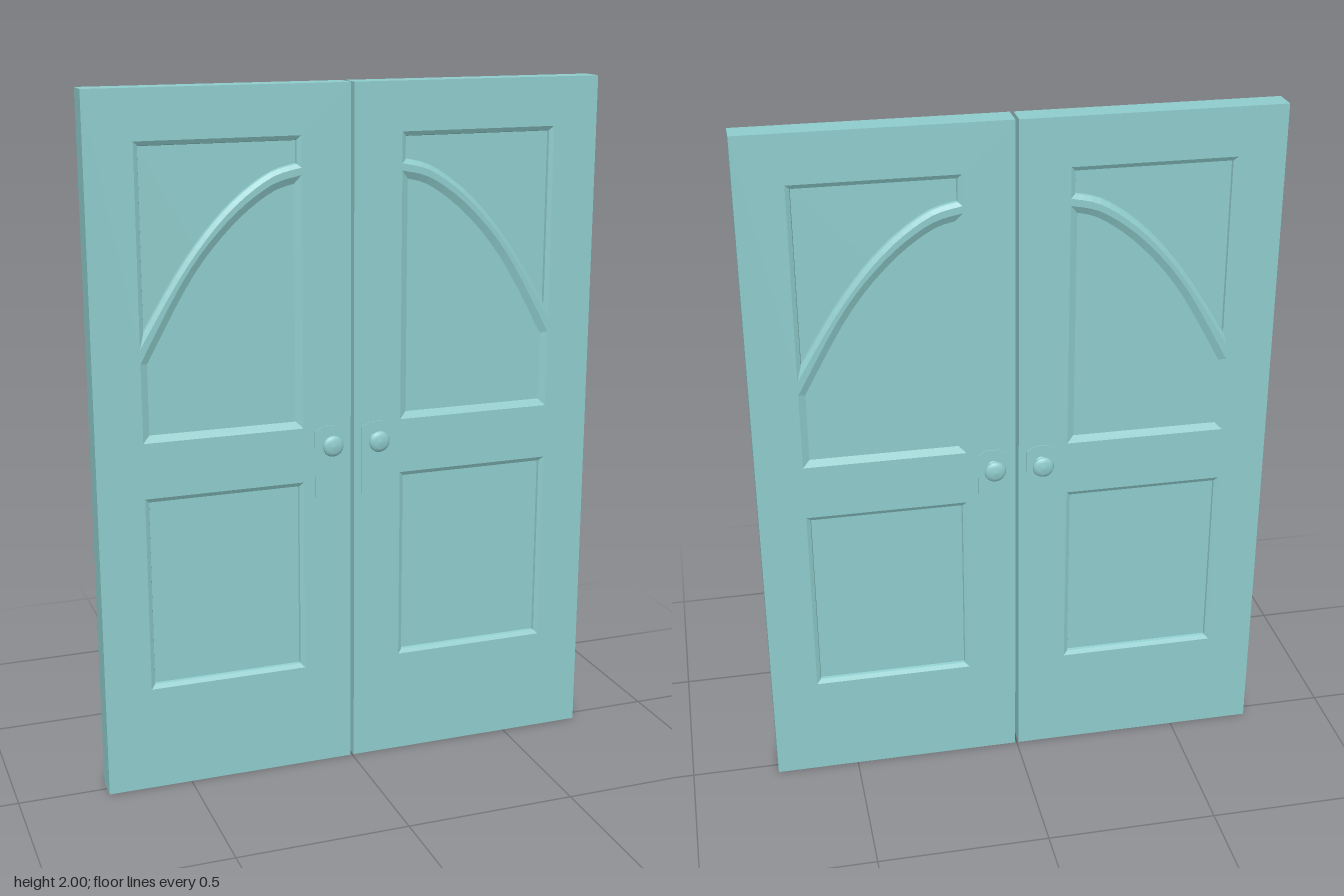
import * as THREE from 'three';

const material = new THREE.MeshStandardMaterial({ color: 0x8fcccc });
const HALF = 0.037;            // half thickness of a leaf
const X0 = 0.147, X1 = 0.61;   // sides of the panels
const v = (x, y) => new THREE.Vector2(x, y);

function add(parent, name, geometry) {
  const mesh = new THREE.Mesh(geometry, material);
  mesh.name = name;
  parent.add(mesh);
  return mesh;
}

// Extrusion centred on z = 0
function slab(shape, half) {
  return new THREE.ExtrudeGeometry(shape, { depth: half * 2, bevelEnabled: false }).translate(0, 0, -half);
}

// Moves each side of a counter-clockwise outline inwards by d
function inset(points, d) {
  const n = points.length;
  return points.map((p, i) => {
    const a = p.clone().sub(points[(i + n - 1) % n]).normalize();
    const b = points[(i + 1) % n].clone().sub(p).normalize();
    const na = v(-a.y, a.x), nb = v(-b.y, b.x);
    return p.clone().addScaledVector(na.clone().add(nb), d / (1 + na.dot(nb)));
  });
}

// Sloped moulding on both faces; steps are [inset, depth] pairs
function moulding(outline, steps) {
  const pos = [];
  const rings = steps.map(([d, depth]) => inset(outline, d).map(p => [p.x, p.y, HALF - depth]));
  for (const side of [1, -1]) {
    const tri = (...c) => {
      if (side < 0) c.reverse();
      c.forEach(([x, y, z]) => pos.push(x, y, z * side));
    };
    for (let r = 0; r + 1 < rings.length; r++) {
      for (let i = 0; i < outline.length; i++) {
        const j = (i + 1) % outline.length, o = rings[r], n = rings[r + 1];
        tri(o[i], o[j], n[j]);
        tri(o[i], n[j], n[i]);
      }
    }
  }
  const g = new THREE.BufferGeometry();
  g.setAttribute('position', new THREE.Float32BufferAttribute(pos, 3));
  g.computeVertexNormals();
  return g;
}

// Panel outlines, counter-clockwise
function arch(top, end) {
  const drop = top - 1.755;
  return new THREE.SplineCurve([
    v(X0, top), v(0.24, 1.728 + drop), v(0.36, 1.637 + drop), v(0.48, 1.493 + drop), v(X1, end),
  ]).getPoints(18);
}
const stepped = [[0, 0], [0.012, 0.007], [0.014, 0.015]];
const sloped = [[0, 0], [0.02, 0.01]];
const panels = [
  { name: 'lowerPanel', steps: stepped, outline: [v(X0, 0.308), v(X1, 0.308), v(X1, 0.88), v(X0, 0.88)] },
  { name: 'archedPanel', steps: sloped, outline: [v(X0, 1.04), v(X1, 1.04), ...arch(1.755, 1.265).reverse()] },
  { name: 'cornerPanel', steps: stepped, outline: [v(X1, 1.862), v(X0, 1.862), ...arch(1.775, 1.305)] },
];

function createLeaf() {
  const leaf = new THREE.Group();

  // Frame with panel openings
  const frame = new THREE.Shape([v(0.005, 0), v(0.744, 0), v(0.744, 2), v(0.005, 2)]);
  panels.forEach(p => frame.holes.push(new THREE.Path(p.outline)));
  add(leaf, 'frame', slab(frame, HALF));

  // Recessed panels with their mouldings
  for (const { name, steps, outline } of panels) {
    const [d, depth] = steps[steps.length - 1];
    add(leaf, name, slab(new THREE.Shape(inset(outline, d)), HALF - depth));
    add(leaf, name + 'Moulding', moulding(outline, steps));
  }

  // Lock plate on both faces
  const plate = new THREE.Shape([
    v(0.028, 0.83), v(0.053, 0.815), v(0.089, 0.815), v(0.114, 0.83),
    v(0.114, 1.028), v(0.089, 1.042), v(0.053, 1.042), v(0.028, 1.028),
  ]);
  add(leaf, 'lockPlate', slab(plate, 0.04));

  // Knob with collar and stem, turned around its axis
  const profile = [
    v(0.018, 0.038), v(0.017, 0.043), v(0.011, 0.046), v(0.01, 0.06), v(0.02, 0.062),
    v(0.029, 0.067), v(0.031, 0.072), v(0.028, 0.078), v(0.018, 0.082), v(0, 0.084),
  ];
  for (const side of [1, -1]) {
    const knob = add(leaf, side > 0 ? 'frontKnob' : 'backKnob', new THREE.LatheGeometry(profile, 24));
    knob.rotation.x = side * Math.PI / 2;
    knob.position.set(0.07, 0.99, 0);
  }
  return leaf;
}

export function createModel() {
  const model = new THREE.Group();
  model.name = 'doubleDoor';
  const left = createLeaf();
  left.name = 'leftLeaf';
  // Both faces match, so a half turn gives the mirrored leaf
  const right = createLeaf();
  right.name = 'rightLeaf';
  right.rotation.y = Math.PI;
  model.add(left, right);
  return model;
}
